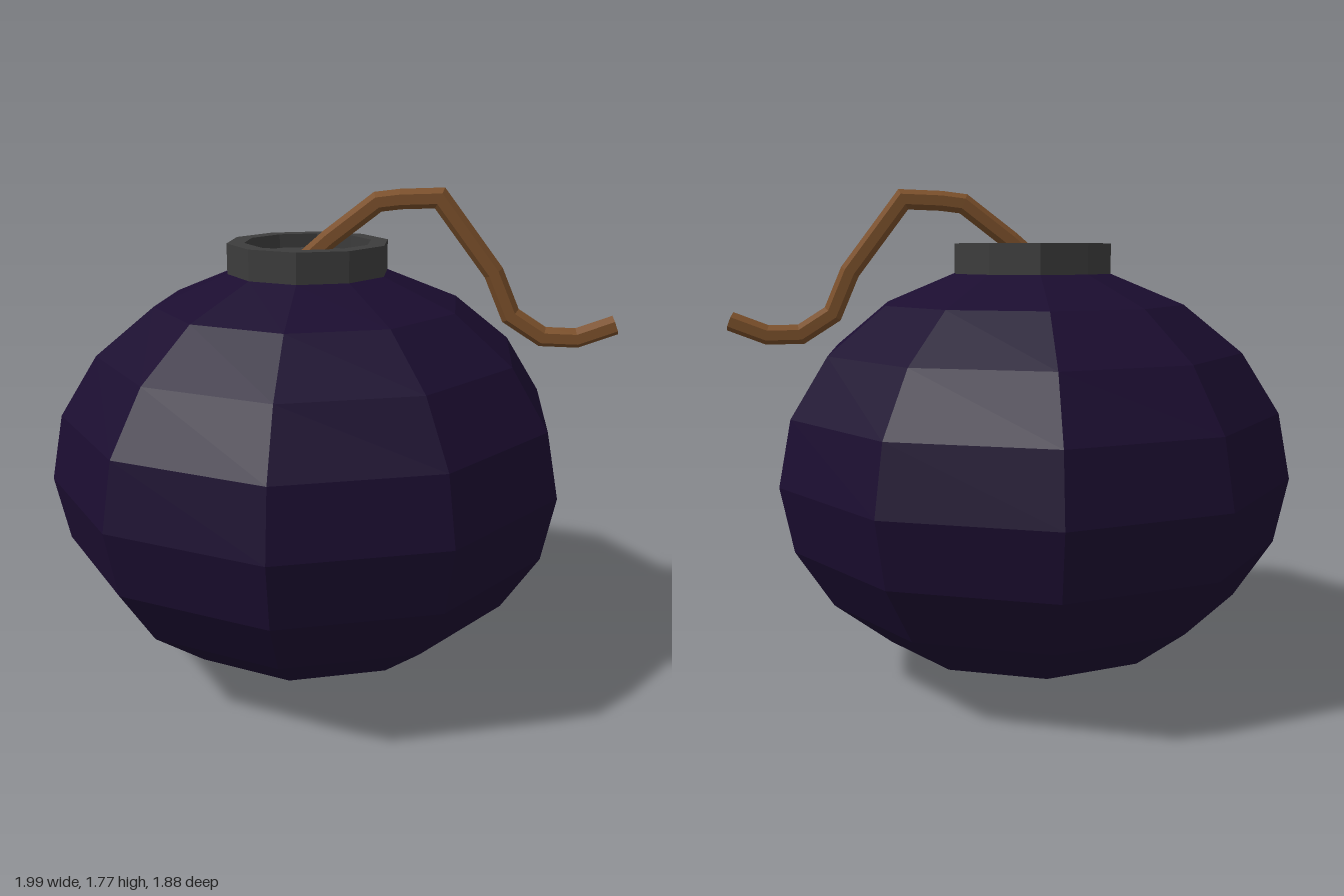
import * as THREE from 'three';

const SIDES = 10;
const CENTRE_X = -0.105;

const paint = (color) => new THREE.MeshStandardMaterial({ color, flatShading: true });

function part(name, geometry, color) {
  const mesh = new THREE.Mesh(geometry, paint(color));
  mesh.name = name;
  return mesh;
}

// Profile [radius, y] from bottom to top, spun into ten flat sides
function spin(profile) {
  return new THREE.LatheGeometry(profile.map(([r, y]) => new THREE.Vector2(r, y)), SIDES);
}

// Mitred hexagonal rod along a path in the xy plane, closed at both ends
function rod(path, radius, sides = 6) {
  const points = path.map(([x, y]) => new THREE.Vector2(x, y));
  const last = points.length - 1;
  const positions = [];
  const index = [];
  points.forEach((p, i) => {
    const into = points[Math.max(i, 1)].clone().sub(points[Math.max(i, 1) - 1]).normalize();
    const next = Math.min(i + 1, last);
    const out = points[next].clone().sub(points[next - 1]).normalize();
    const along = into.clone().add(out).normalize();
    const stretch = radius / along.dot(out);
    for (let j = 0; j < sides; j++) {
      const a = (j / sides) * Math.PI * 2;
      const rise = Math.cos(a) * stretch;
      positions.push(p.x - along.y * rise, p.y + along.x * rise, Math.sin(a) * radius);
    }
  });
  for (let i = 0; i < last; i++) {
    for (let j = 0; j < sides; j++) {
      const a = i * sides + j;
      const b = i * sides + ((j + 1) % sides);
      index.push(a, b, b + sides, a, b + sides, a + sides);
    }
  }
  for (let j = 1; j < sides - 1; j++) {
    const e = last * sides;
    index.push(0, j + 1, j, e, e + j, e + j + 1);
  }
  const geometry = new THREE.BufferGeometry();
  geometry.setAttribute('position', new THREE.Float32BufferAttribute(positions, 3));
  geometry.setIndex(index);
  geometry.computeVertexNormals();
  return geometry;
}

export function createModel() {
  const model = new THREE.Group();
  model.name = 'bomb';

  // Squashed faceted ball
  const rings = [];
  for (let k = 0; k <= 10; k++) {
    const a = (k / 10) * Math.PI;
    rings.push([0.94 * Math.sin(a), 0.755 - 0.755 * Math.cos(a)]);
  }
  const body = part('body', spin(rings), 0x1b0d30);
  body.position.x = CENTRE_X;

  // Collar with a shallow recess in its top
  const collar = part('collar', spin([
    [0, 1.46], [0.29, 1.46], [0.29, 1.58], [0.228, 1.58], [0.228, 1.53], [0, 1.53],
  ]), 0x3c3c3c);
  collar.position.x = CENTRE_X;

  // Drooping fuse
  const fuse = part('fuse', rod([
    [-0.11, 1.52], [-0.03, 1.59], [0.14, 1.72], [0.22, 1.73], [0.355, 1.735], [0.55, 1.48],
    [0.615, 1.33], [0.73, 1.257], [0.85, 1.255], [0.98, 1.305],
  ], 0.035), 0x7a4f2a);

  model.add(body, collar, fuse);
  return model;
}
